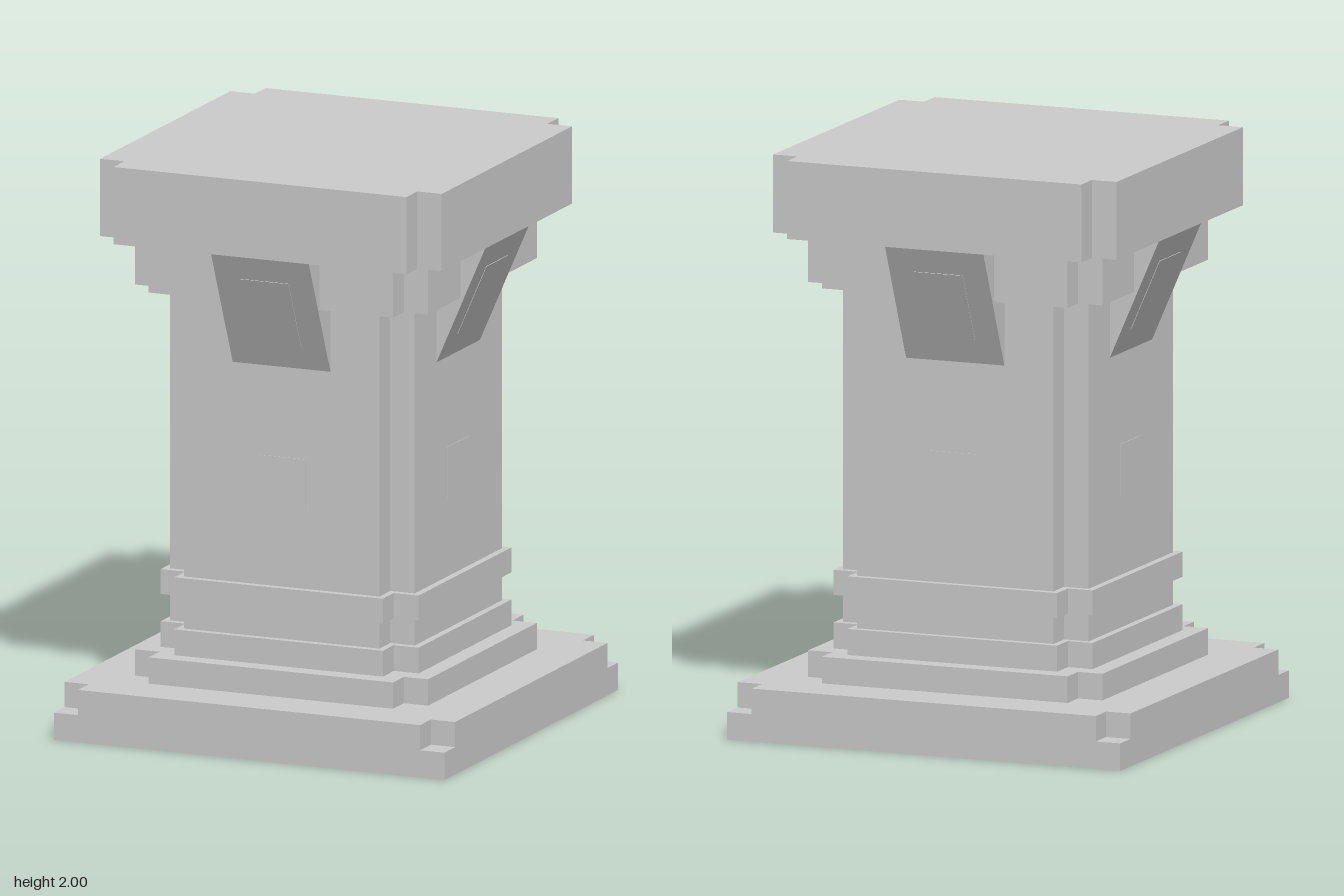
import * as THREE from 'three';

const stone = new THREE.MeshStandardMaterial({ color: 0xcccccc });
stone.name = 'stone';

// Square slab with a square notch cut from each corner: half width h, inner half width n
function notchedSlab(name, y0, y1, h, n) {
  const points = [];
  for (let i = 0; i < 4; i++) {
    const a = (i * Math.PI) / 2;
    for (const [x, y] of [[h, -n], [h, n], [n, n]]) {
      points.push(new THREE.Vector2(x, y).rotateAround(new THREE.Vector2(), a));
    }
  }
  const geometry = new THREE.ExtrudeGeometry(new THREE.Shape(points), { depth: y1 - y0, bevelEnabled: false });
  geometry.rotateX(-Math.PI / 2).translate(0, y0, 0);
  const mesh = new THREE.Mesh(geometry, stone);
  mesh.name = name;
  return mesh;
}

function box(name, w, h, d, x, y, z) {
  const mesh = new THREE.Mesh(new THREE.BoxGeometry(w, h, d), stone);
  mesh.name = name;
  mesh.position.set(x, y, z);
  return mesh;
}

// Sloping bracket and small square panels on one face
function faceDetails() {
  const group = new THREE.Group();
  group.name = 'faceDetails';
  const inner = 0.44, foot = 0.455, tip = 0.636, low = 1.315, high = 1.73;

  const profile = new THREE.Shape([
    new THREE.Vector2(inner, low),
    new THREE.Vector2(foot, low),
    new THREE.Vector2(tip, high),
    new THREE.Vector2(inner, high),
  ]);
  const geometry = new THREE.ExtrudeGeometry(profile, { depth: 0.364, bevelEnabled: false });
  geometry.translate(0, 0, -0.182).rotateY(-Math.PI / 2);
  const bracket = new THREE.Mesh(geometry, stone);
  bracket.name = 'bracket';
  group.add(bracket);

  // Panel lying on the slope
  const y = 1.522;
  const z = foot + ((tip - foot) * (y - low)) / (high - low);
  const panel = box('bracketPanel', 0.18, 0.268, 0.004, 0, y, z);
  panel.rotation.x = Math.atan2(tip - foot, high - low);
  group.add(panel);

  group.add(box('shaftPanel', 0.18, 0.18, 0.004, 0, 0.91, 0.455));
  return group;
}

export function createModel() {
  const model = new THREE.Group();
  model.name = 'pedestal';

  model.add(box('plinth', 1.454, 0.095, 1.454, 0, 0.0475, 0));

  // Stacked tiers from the plinth to the cap
  const tiers = [
    ['plinthTop', 0.095, 0.183, 0.727, 0.637],
    ['baseStep', 0.183, 0.275, 0.545, 0.455],
    ['lowerBand', 0.275, 0.365, 0.48, 0.388],
    ['neck', 0.365, 0.46, 0.455, 0.364],
    ['upperBand', 0.46, 0.547, 0.48, 0.388],
    ['shaft', 0.547, 1.55, 0.455, 0.364],
    ['capMoulding', 1.55, 1.73, 0.545, 0.455],
    ['cap', 1.73, 2, 0.636, 0.545],
  ];
  for (const tier of tiers) model.add(notchedSlab(...tier));

  for (let i = 0; i < 4; i++) {
    const side = faceDetails();
    side.rotation.y = (i * Math.PI) / 2;
    model.add(side);
  }
  return model;
}
